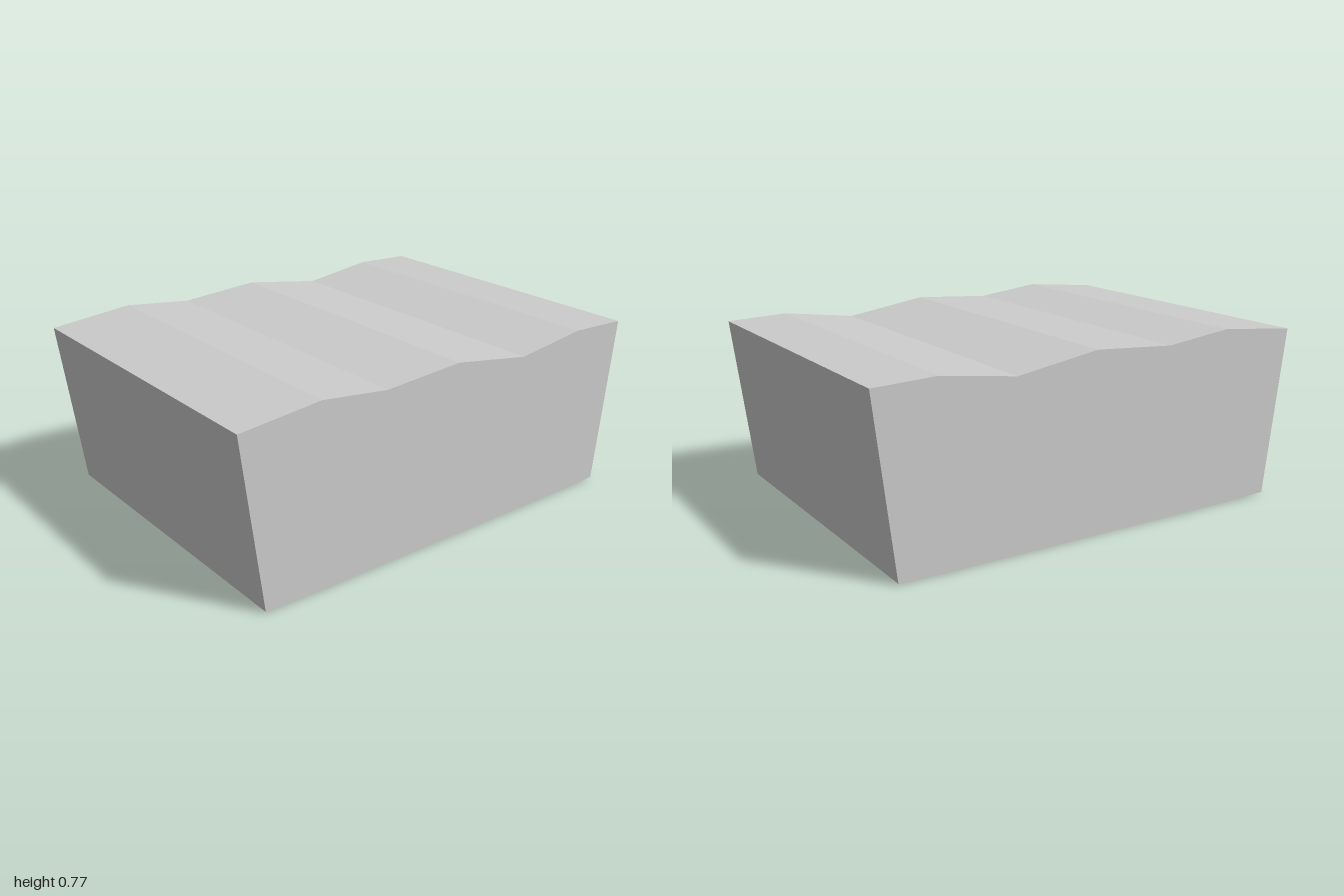
import * as THREE from 'three';

const WIDTH = 1.45;

// Side profile as [z, y]: shallow base, tapered ends, wavy top
const base = [[-0.91, 0.006], [-0.73, 0], [0.65, 0], [0.905, 0.006]];
const wavyTop = [
  [1, 0.74], [0.64, 0.775], [0.335, 0.74], [-0.03, 0.765],
  [-0.4, 0.708], [-0.73, 0.753], [-1, 0.743],
];

export function createModel() {
  const group = new THREE.Group();
  group.name = 'wavyBlock';

  const profile = new THREE.Shape([...base, ...wavyTop].map(([z, y]) => new THREE.Vector2(z, y)));
  const geometry = new THREE.ExtrudeGeometry(profile, { depth: WIDTH, bevelEnabled: false });
  // Turn the profile into the z-y plane and centre the width on x
  geometry.rotateY(-Math.PI / 2);
  geometry.translate(WIDTH / 2, 0, 0);

  const material = new THREE.MeshStandardMaterial({ color: 0xcccccc, flatShading: true });
  const block = new THREE.Mesh(geometry, material);
  block.name = 'block';
  group.add(block);
  return group;
}
